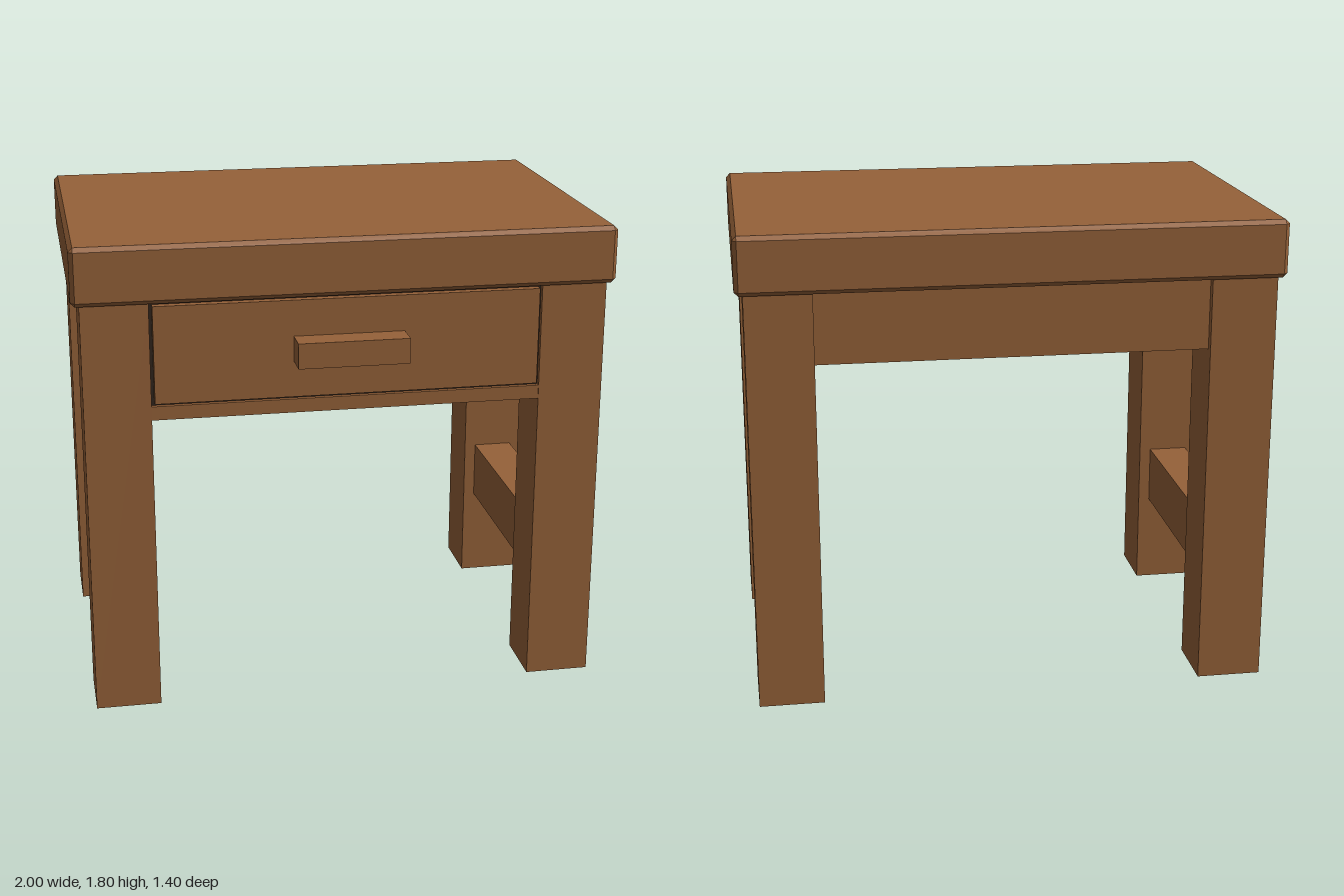
import * as THREE from 'three';
import { ConvexGeometry } from 'three/addons/geometries/ConvexGeometry.js';

const wood = new THREE.MeshStandardMaterial({ color: 0x966239 });
const dark = new THREE.MeshStandardMaterial({ color: 0x30251c });

// Box given by its limits on each axis
function box(name, [x0, x1], [y0, y1], [z0, z1], material = wood) {
  const mesh = new THREE.Mesh(new THREE.BoxGeometry(x1 - x0, y1 - y0, z1 - z0), material);
  mesh.position.set((x0 + x1) / 2, (y0 + y1) / 2, (z0 + z1) / 2);
  mesh.name = name;
  return mesh;
}

// Box with all edges and corners chamfered by b
function chamferedBox(w, h, d, b) {
  const points = [];
  for (const sx of [-1, 1]) for (const sy of [-1, 1]) for (const sz of [-1, 1]) {
    const x = w / 2 - b, y = h / 2 - b, z = d / 2 - b;
    points.push(
      new THREE.Vector3(sx * (x + b), sy * y, sz * z),
      new THREE.Vector3(sx * x, sy * (y + b), sz * z),
      new THREE.Vector3(sx * x, sy * y, sz * (z + b)));
  }
  return new ConvexGeometry(points);
}

export function createModel() {
  const model = new THREE.Group();
  model.name = 'sideTable';

  // Table top
  const top = new THREE.Mesh(chamferedBox(2, 0.215, 1.32, 0.016), wood);
  top.name = 'tableTop';
  top.position.set(0, 1.6925, -0.04);
  model.add(top);

  // Legs, side aprons and stretchers, mirrored left and right
  for (const [side, s] of [['left', 1], ['right', -1]]) {
    const span = (a, b) => (s > 0 ? [a, b] : [-b, -a]);
    model.add(
      box(side + 'FrontLeg', span(0.725, 0.97), [0, 1.587], [0.35, 0.595]),
      box(side + 'BackLeg', span(0.725, 0.97), [0, 1.587], [-0.675, -0.43]),
      box(side + 'Apron', span(0.865, 0.935), [1.315, 1.587], [-0.43, 0.35]),
      box(side + 'Stretcher', span(0.77, 0.925), [0.36, 0.59], [-0.43, 0.35]));
  }

  // Back apron and front rail below the drawer
  model.add(
    box('backApron', [-0.725, 0.725], [1.315, 1.587], [-0.645, -0.575]),
    box('frontRail', [-0.725, 0.725], [1.145, 1.197], [0.52, 0.592]));

  // Drawer: dark recess, front panel and pull
  model.add(
    box('drawerRecess', [-0.725, 0.725], [1.197, 1.587], [0.5, 0.575], dark),
    box('drawerFront', [-0.713, 0.713], [1.21, 1.575], [0.575, 0.605]),
    box('drawerHandle', [-0.205, 0.205], [1.345, 1.44], [0.605, 0.705]));

  return model;
}
